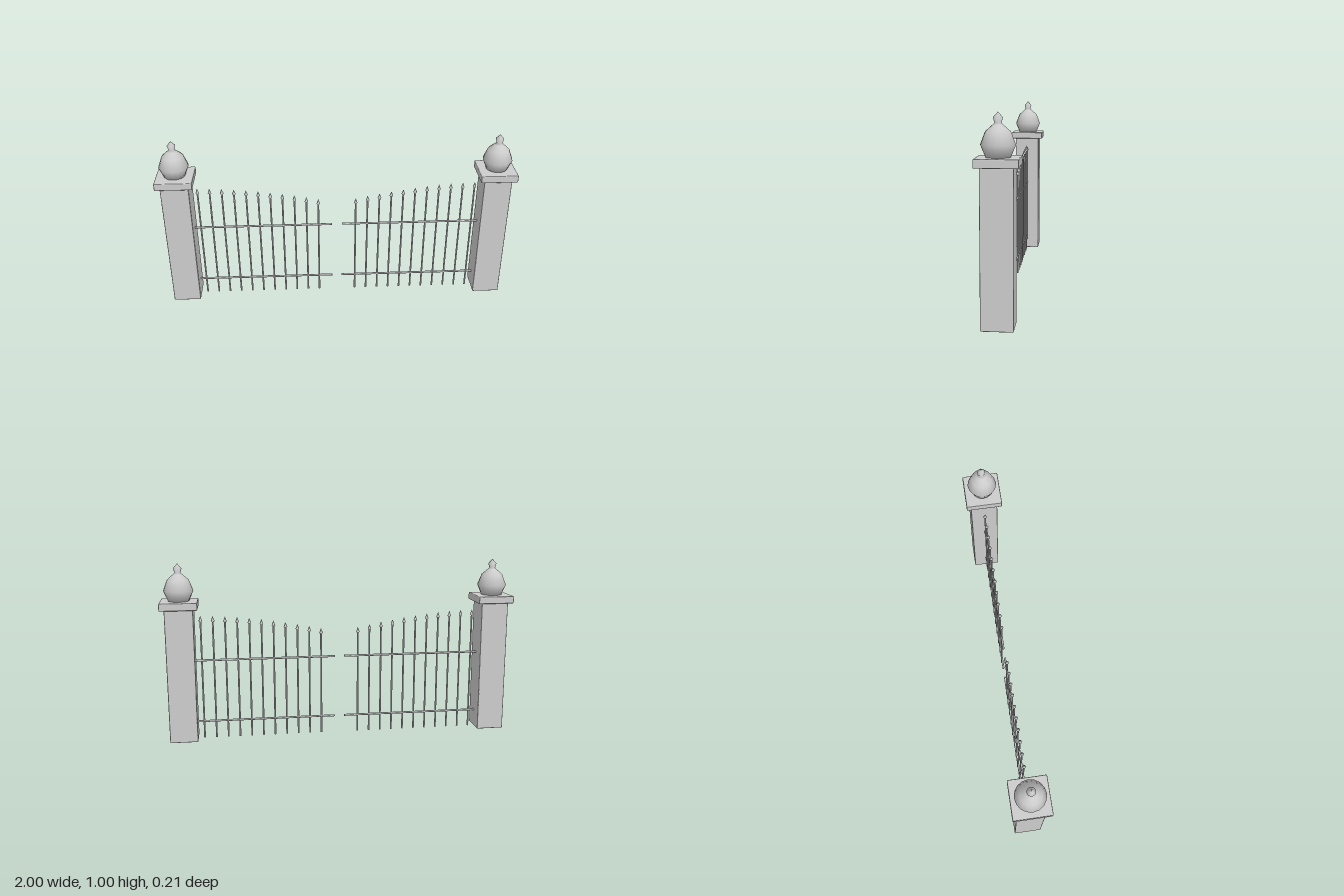
import * as THREE from 'three';
import { RoundedBoxGeometry } from 'three/addons/geometries/RoundedBoxGeometry.js';

const stone = new THREE.MeshStandardMaterial({ color: 0xcccccc });
stone.name = 'pale grey';

function addMesh(parent, name, geometry, x, y) {
  const mesh = new THREE.Mesh(geometry, stone);
  mesh.name = name;
  mesh.position.set(x, y, 0);
  parent.add(mesh);
  return mesh;
}

// Square post with a slab cap and a turned finial
function createPillar(x) {
  const pillar = new THREE.Group();
  pillar.position.x = x;
  addMesh(pillar, 'post', new RoundedBoxGeometry(0.156, 0.757, 0.156, 1, 0.005), 0, 0.3785);
  addMesh(pillar, 'cap', new RoundedBoxGeometry(0.206, 0.042, 0.206, 1, 0.005), 0, 0.778);
  const profile = [
    [0, 0.798], [0.058, 0.798], [0.082, 0.856], [0.059, 0.916],
    [0.026, 0.945], [0.016, 0.955], [0.023, 0.979], [0, 1.005],
  ].map(([r, y]) => new THREE.Vector2(r, y));
  addMesh(pillar, 'finial', new THREE.LatheGeometry(profile, 16), 0, 0);
  return pillar;
}

// One leaf: two rails and eleven spear-topped bars that fall away from the post
function createLeaf(side) {
  const leaf = new THREE.Group();
  const inner = 0.028, outer = 0.82, count = 11;
  for (const y of [0.099, 0.457]) {
    const rail = new THREE.CylinderGeometry(0.006, 0.006, outer - inner, 8);
    addMesh(leaf, 'rail', rail, side * (inner + outer) / 2, y).rotation.z = Math.PI / 2;
  }
  const headProfile = [[0.005, 0], [0.0105, 0.005], [0, 0.034]]
    .map(([r, y]) => new THREE.Vector2(r, y));
  const head = new THREE.LatheGeometry(headProfile, 8);
  for (let i = 0; i < count; i++) {
    const x = side * (0.107 + 0.0677 * i);
    const t = 1 - i / (count - 1);
    const barTop = 0.677 - 0.086 * Math.pow(t, 1.75);
    addMesh(leaf, 'bar', new THREE.CylinderGeometry(0.005, 0.005, barTop, 8), x, barTop / 2);
    addMesh(leaf, 'spearhead', head, x, barTop);
  }
  return leaf;
}

export function createModel() {
  const gate = new THREE.Group();
  gate.name = 'gate';
  for (const side of [-1, 1]) {
    const label = side > 0 ? 'left' : 'right';
    const pillar = createPillar(side * 0.897);
    pillar.name = label + 'Pillar';
    const leaf = createLeaf(side);
    leaf.name = label + 'GateLeaf';
    gate.add(pillar, leaf);
  }
  return gate;
}
